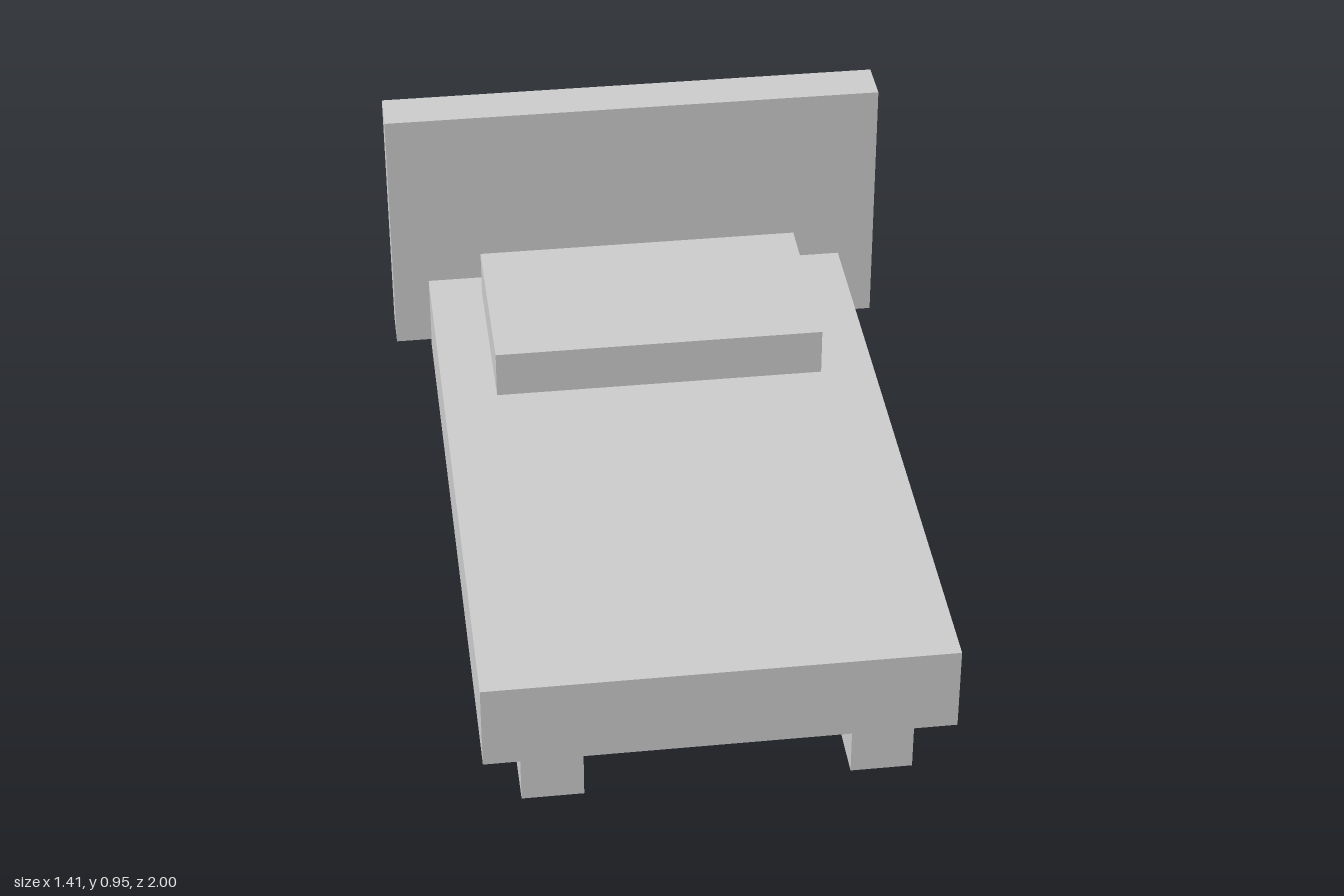
import * as THREE from 'three';

export function createModel() {
  const bed = new THREE.Group();
  bed.name = 'bed';
  const material = new THREE.MeshStandardMaterial({ color: 0xcccccc, flatShading: true });

  // Box given by its [min, max] extents on each axis
  function addBox(name, [x0, x1], [y0, y1], [z0, z1]) {
    const mesh = new THREE.Mesh(new THREE.BoxGeometry(x1 - x0, y1 - y0, z1 - z0), material);
    mesh.position.set((x0 + x1) / 2, (y0 + y1) / 2, (z0 + z1) / 2);
    mesh.name = name;
    bed.add(mesh);
  }

  // Mattress, running slightly into the headboard
  addBox('mattress', [-0.604, 0.604], [0.18, 0.416], [-0.886, 1]);

  // Headboard
  addBox('headboard', [-0.706, 0.706], [0.212, 0.952], [-1, -0.867]);

  // Pillow
  addBox('pillow', [-0.455, 0.455], [0.416, 0.55], [-0.784, -0.264]);

  // Four legs, mirrored left and right
  for (const [end, z] of [['front', [0.798, 0.938]], ['back', [-0.804, -0.667]]]) {
    addBox(end + 'LeftLeg', [0.345, 0.506], [0, 0.18], z);
    addBox(end + 'RightLeg', [-0.506, -0.345], [0, 0.18], z);
  }

  return bed;
}
